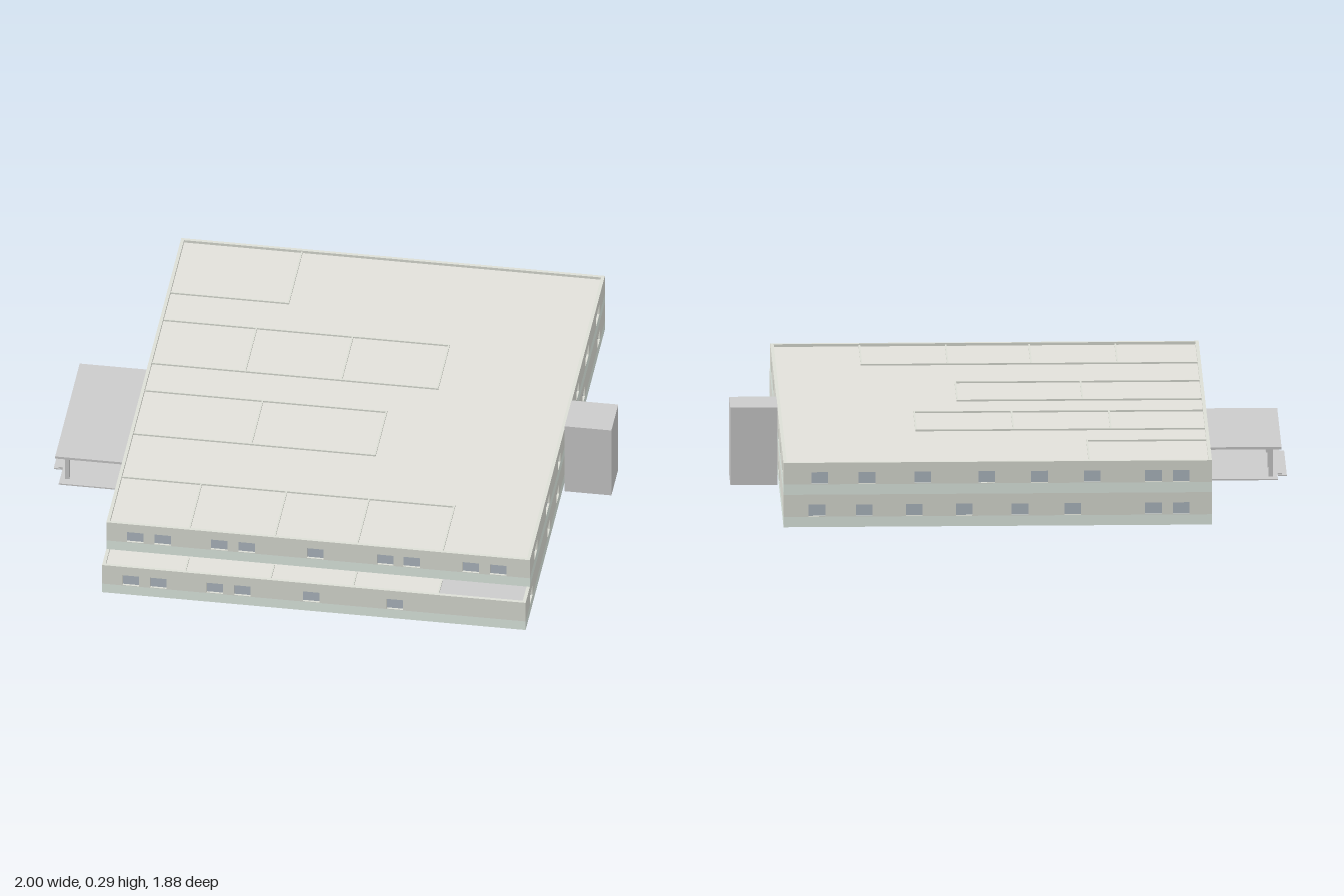
import * as THREE from 'three';

const mat = (color) => new THREE.MeshStandardMaterial({ color });
const grey = mat(0xcccccc), wallMat = mat(0xdddfd6), bandMat = mat(0xe2ede5);
const glassMat = mat(0xb0bac2), roofMat = mat(0xe2e1da), baseMat = mat(0xcccccc);

const X0 = -0.71, X1 = 0.83, ZB = -0.94, T = 0.012;

// Box given by its min and max corners
function box(parent, name, m, [x0, y0, z0], [x1, y1, z1]) {
  const mesh = new THREE.Mesh(new THREE.BoxGeometry(x1 - x0, y1 - y0, z1 - z0), m);
  mesh.position.set((x0 + x1) / 2, (y0 + y1) / 2, (z0 + z1) / 2);
  mesh.name = name;
  parent.add(mesh);
  return mesh;
}

// Wall facing local +z with its outer face at z = 0: lower band, pierced upper part, glass
function wall(name, length, height, windows) {
  const g = new THREE.Group();
  const band = 0.038, h = length / 2;
  g.name = name;
  box(g, 'lowerBand', bandMat, [-h, 0, -T], [h, band, 0]);
  const shape = new THREE.Shape([
    new THREE.Vector2(-h, band), new THREE.Vector2(h, band),
    new THREE.Vector2(h, height), new THREE.Vector2(-h, height)]);
  for (const [u, w = 0.06] of windows) {
    const a = u - w / 2, b = u + w / 2, y0 = band + 0.002, y1 = y0 + 0.043;
    shape.holes.push(new THREE.Path([
      new THREE.Vector2(a, y0), new THREE.Vector2(a, y1),
      new THREE.Vector2(b, y1), new THREE.Vector2(b, y0)]));
    box(g, 'windowPane', glassMat, [a, y0, -T], [b, y1, -T + 0.004]);
  }
  const upper = new THREE.Mesh(
    new THREE.ExtrudeGeometry(shape, { depth: T, bevelEnabled: false }), wallMat);
  upper.position.z = -T;
  upper.name = 'upperWall';
  g.add(upper);
  return g;
}

// One storey: four walls; window positions are given in model x or z
function storey(name, y, height, zf, win) {
  const g = new THREE.Group();
  g.name = name;
  const cx = (X0 + X1) / 2, cz = (ZB + zf) / 2, lx = X1 - X0, lz = zf - ZB - 2 * T;
  const sides = [
    ['frontWall', lx, cx, zf, 0, (p) => p - cx],
    ['backWall', lx, cx, ZB, Math.PI, (p) => cx - p],
    ['leftWall', lz, X1, cz, Math.PI / 2, (p) => cz - p],
    ['rightWall', lz, X0, cz, -Math.PI / 2, (p) => p - cz],
  ];
  for (const [n, len, x, z, turn, map] of sides) {
    const w = wall(n, len, height, win[n].map(([p, s]) => [map(p), s]));
    w.position.set(x, y, z);
    w.rotation.y = turn;
    g.add(w);
  }
  return g;
}

const at = (...list) => list.map((p) => [p]);

// Partition lines: [x0, z0, x1, z1]
const partitions = [
  [X0, -0.61, -0.27, -0.61], [-0.27, ZB, -0.27, -0.61],
  [X0, -0.44, 0.34, -0.44], [X0, -0.17, 0.34, -0.17],
  ...[-0.36, -0.01, 0.34].map((x) => [x, -0.44, x, -0.17]),
  [X0, 0, 0.18, 0], [X0, 0.27, 0.18, 0.27],
  ...[-0.27, 0.18].map((x) => [x, 0, x, 0.27]),
  [X0, 0.54, 0.51, 0.54],
  ...[-0.41, -0.1, 0.2, 0.51].map((x) => [x, 0.54, x, 0.83]),
];

function ribs(parent, name, m, y0, y1) {
  const r = 0.003;
  for (const [x0, z0, x1, z1] of partitions)
    box(parent, name, m, [x0 + (x0 === X0 ? T : -r), y0, z0 === ZB ? ZB + T : z0 - r],
      [x1 + r, y1, z1 + (z1 === 0.83 ? -T : r)]);
}

export function createModel() {
  const model = new THREE.Group();
  model.name = 'building';

  // Two storeys, the upper one set back at the front
  model.add(storey('lowerStorey', 0.04, 0.12, 0.935, {
    frontWall: at(-0.605, -0.505, -0.3, -0.2, 0.05, 0.355),
    backWall: at(0.71, 0.54, 0.36, 0.18, -0.02, -0.21, -0.5, -0.6),
    leftWall: at(0.8, 0.39, 0.17, -0.275, -0.44, -0.795),
    rightWall: at(0.8, 0.39, -0.44, -0.795),
  }));
  model.add(storey('upperStorey', 0.16, 0.118, 0.835, {
    frontWall: at(-0.605, -0.505, -0.3, -0.2, 0.05, 0.305, 0.4, 0.615, 0.715),
    backWall: at(0.7, 0.53, 0.33, 0.1, -0.09, -0.28, -0.5, -0.6),
    leftWall: [[0.69], [0.41, 0.08], [0.14], [-0.3], [-0.52, 0.08], [-0.77, 0.08]],
    rightWall: [[0.69], [0.41, 0.08], [0.14], [-0.3], [-0.52, 0.08], [-0.77, 0.08]],
  }));

  // Floor, main roof and terrace inside the parapets
  box(model, 'floorSlab', baseMat, [X0 + T, 0.041, ZB + T], [X1 - T, 0.05, 0.923]);
  box(model, 'roofSlab', roofMat, [X0 + T, 0.255, ZB + T], [X1 - T, 0.268, 0.823]);
  box(model, 'terraceSlab', roofMat, [X0 + T, 0.14, 0.8], [0.51, 0.152, 0.923]);
  box(model, 'terraceCorner', grey, [0.51, 0.14, 0.8], [X1 - T, 0.152, 0.923]);
  for (const x of [-0.41, -0.1, 0.2, 0.51])
    box(model, 'terraceRib', wallMat, [x - 0.003, 0.15, 0.835], [x + 0.003, 0.158, 0.923]);

  // Partition lines on the roof and underside
  ribs(model, 'roofRib', wallMat, 0.266, 0.274);
  ribs(model, 'floorRib', baseMat, 0.039, 0.043);

  // Side tower
  box(model, 'sideTower', grey, [X1, 0, -0.15], [1, 0.287, 0.012]);

  // Porch with canopy, posts and steps
  const porch = new THREE.Group();
  porch.name = 'porch';
  model.add(porch);
  box(porch, 'canopy', grey, [-0.978, 0.152, -0.28], [X0, 0.161, 0.3]);
  box(porch, 'deck', grey, [-0.965, 0.038, -0.28], [X0, 0.043, 0.3]);
  for (const z of [-0.24, -0.1, 0.12, 0.26])
    box(porch, 'post', grey, [-0.948, 0.043, z - 0.008], [-0.932, 0.152, z + 0.008]);
  box(porch, 'upperStep', grey, [-0.982, 0.031, -0.17], [-0.95, 0.036, 0.19]);
  box(porch, 'lowerStep', grey, [-1, 0.025, -0.17], [-0.968, 0.03, 0.19]);

  return model;
}
